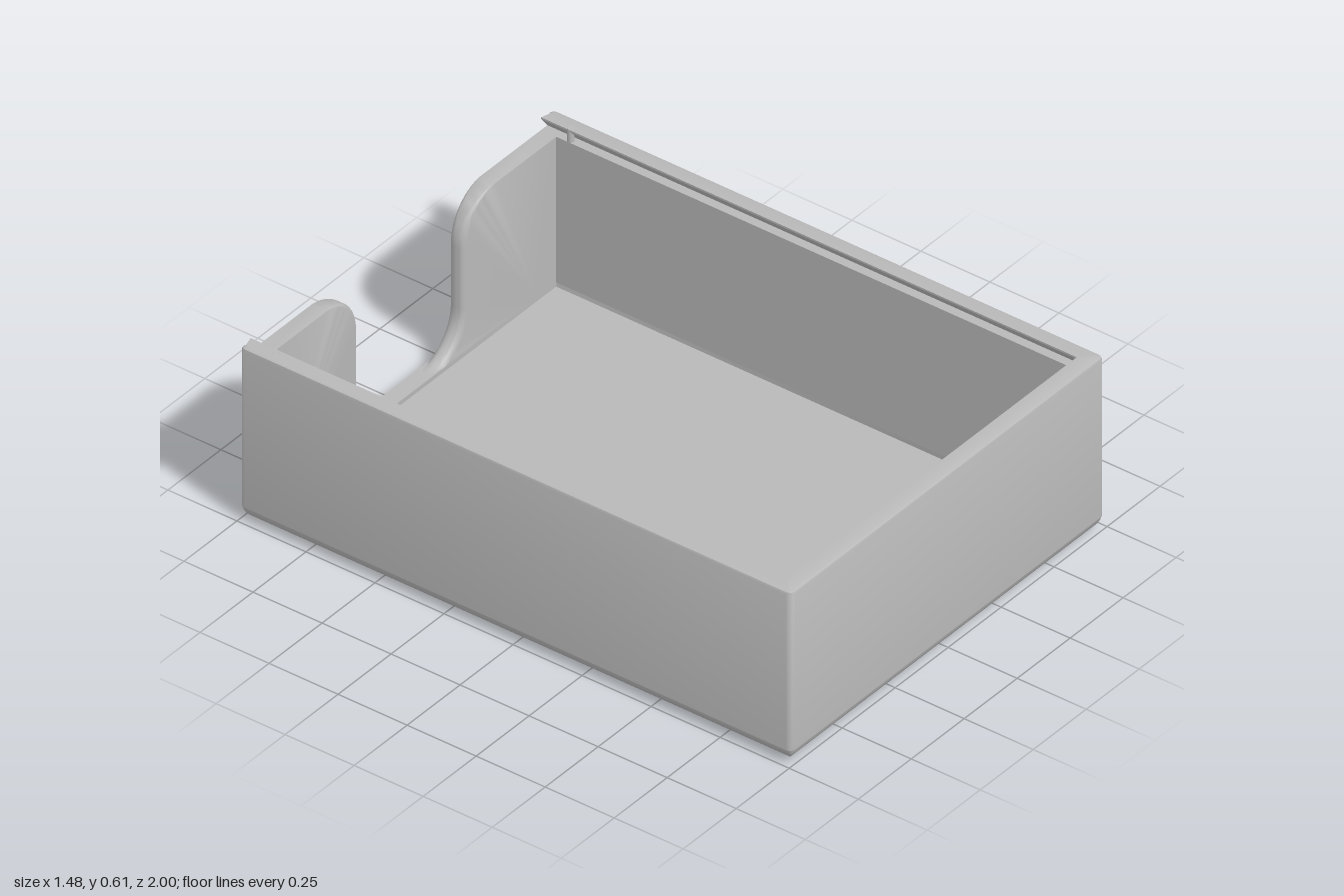
import * as THREE from 'three';
import { toCreasedNormals } from 'three/addons/utils/BufferGeometryUtils.js';

const W = 0.74, IN = 0.685, FRONT_IN = 0.94, BACK_IN = -0.945; // outer half width, cavity limits
const TOP = 0.61, LEDGE = 0.565, SILL = 0.05, FLOOR = 0.035;   // heights
const CORNER = 0.02, GROOVE = 0.03;

// Skin a grid of points (rows of equal length), skipping empty triangles
function skin(rows) {
  const pos = [];
  const tri = (a, b, c) => {
    const n = b.clone().sub(a).cross(c.clone().sub(a));
    if (n.length() > 1e-9) for (const p of [a, b, c]) pos.push(p.x, p.y, p.z);
  };
  for (let i = 0; i < rows.length - 1; i++) {
    for (let j = 0; j < rows[i].length - 1; j++) {
      const a = rows[i][j], b = rows[i + 1][j], c = rows[i + 1][j + 1], d = rows[i][j + 1];
      tri(a, b, c);
      tri(a, c, d);
    }
  }
  const g = new THREE.BufferGeometry();
  g.setAttribute('position', new THREE.Float32BufferAttribute(pos, 3));
  return toCreasedNormals(g, 0.6);
}

const v = (x, y, z) => new THREE.Vector3(x, y, z);

// Closed rounded rectangle at height y
function ring(hx, z0, z1, r, y) {
  const pts = [];
  const centres = [[hx - r, z1 - r], [-hx + r, z1 - r], [-hx + r, z0 + r], [hx - r, z0 + r]];
  centres.forEach(([cx, cz], q) => {
    for (let k = 0; k <= 4; k++) {
      const a = (q + k / 4) * Math.PI / 2;
      pts.push(v(cx + r * Math.cos(a), y, cz + r * Math.sin(a)));
    }
  });
  pts.push(pts[0].clone());
  return pts;
}

// Tray bottom: rounded underside, low sill and recessed floor
function baseGeometry() {
  const R = 0.06, rows = [];
  const outer = (y) => {
    const inset = R - Math.sqrt(R * R - (R - y) ** 2);
    return ring(W - inset, -1 + inset, 1 - inset, Math.max(CORNER - inset, 0.002), y);
  };
  const first = outer(0);
  rows.push(first.map(() => v(0, 0, 0)), first);
  for (let k = 1; k <= 6; k++) rows.push(outer(R * (1 - Math.cos(k / 6 * Math.acos(1 - SILL / R)))));
  for (const y of [SILL, FLOOR]) rows.push(ring(IN, BACK_IN, FRONT_IN, 0.001, y));
  rows.push(first.map(() => v(0, FLOOR, 0)));
  return skin(rows);
}

// Wall cross-section with an undercut groove for a sliding lid.
// o: outer point, n: outer direction, i: inner point, d: groove direction (all in x, z)
function wallSection(o, n, i, d) {
  const inner = (s, y) => v(i[0] + d[0] * s, y, i[1] + d[1] * s);
  const outer = (s, y) => v(o[0] - n[0] * s, y, o[1] - n[1] * s);
  return [inner(0, SILL), inner(0, LEDGE), inner(GROOVE, LEDGE), inner(0, TOP - 0.006), inner(0, TOP),
    outer(0.01, TOP), outer(0.003, TOP - 0.003), outer(0, TOP - 0.01), outer(0, SILL)];
}

// Left, front and right walls as one sweep
function wallRows() {
  const half = [];
  const arc = (cz, from, inner, dir) => {
    for (let k = 0; k <= 4; k++) {
      const a = from + k / 4 * Math.PI / 2, n = [Math.cos(a), Math.sin(a)];
      half.push(wallSection([W - CORNER + CORNER * n[0], cz + CORNER * n[1]], n, inner, dir));
    }
  };
  arc(-1 + CORNER, -Math.PI / 2, [IN, -1], [1, 0]);
  arc(1 - CORNER, 0, [IN, FRONT_IN], [1, 1]);
  const mirrored = half.map((s) => s.map((p) => v(-p.x, p.y, p.z))).reverse();
  return [...half, ...mirrored];
}

// Back wall with a deep thumb notch whose edge is rounded over
function backWallGeometry() {
  const R = 0.15, EDGE = 0.022, N = 12, path = [];
  const add = (x, y, nx, ny, r) => path.push({ x, y, nx, ny, r });
  add(IN, SILL, 0, 1, 0);
  add(IN, LEDGE, 0, 1, 0);
  for (let k = 0; k <= N; k++) {
    const a = Math.PI / 2 * (1 + k / N), c = Math.cos(a), s = Math.sin(a);
    add(0.395 + R * c, LEDGE - R + R * s, c, s, EDGE * Math.sin(k / N * Math.PI / 2));
  }
  for (let k = 0; k <= N; k++) {
    const a = -Math.PI / 2 * k / N, c = Math.cos(a), s = Math.sin(a);
    add(0.095 + R * c, SILL + R + R * s, -c, -s, EDGE);
  }
  const mirrored = path.map((p) => ({ ...p, x: -p.x, nx: -p.nx })).reverse();
  const rows = [...path, ...mirrored].map(({ x, y, nx, ny, r }) => {
    const foot = 0.6 * Math.sign(x), outside = [], inside = [];
    for (let k = 0; k <= 5; k++) {
      const a = k / 5 * Math.PI / 2, back = r * (1 - Math.sin(a)), dz = r * (1 - Math.cos(a));
      const px = x - nx * back, py = Math.max(SILL, y - ny * back);
      outside.push(v(px, py, -1 + dz));
      inside.unshift(v(px, py, BACK_IN - dz));
    }
    return [v(foot, SILL, -1), ...outside, ...inside, v(foot, SILL, BACK_IN)];
  });
  return skin(rows);
}

export function createModel() {
  const model = new THREE.Group();
  model.name = 'slidingLidTray';
  const grey = new THREE.MeshStandardMaterial({ color: 0xb8b8b8 });
  grey.name = 'grey';
  const add = (name, geometry) => {
    const mesh = new THREE.Mesh(geometry, grey);
    mesh.name = name;
    model.add(mesh);
    return mesh;
  };

  add('base', baseGeometry());
  const rows = wallRows();
  add('sideAndFrontWalls', skin(rows));
  add('backWall', backWallGeometry());

  for (const side of [1, -1]) {
    const label = side > 0 ? 'left' : 'right';
    // Flat rear end of each side wall, showing the groove profile
    const outline = rows[0].map((p) => new THREE.Vector2(-side * p.x, p.y));
    const end = new THREE.ShapeGeometry(new THREE.Shape(outline));
    end.rotateY(Math.PI);
    end.translate(0, 0, -1);
    add(label + 'WallEnd', end);
    // Small catch that holds the lid in its groove
    const height = TOP - LEDGE;
    add(label + 'Catch', new THREE.CylinderGeometry(0.011, 0.011, height, 16))
      .position.set(side * 0.695, LEDGE + height / 2 + 0.0005, -0.9);
  }
  return model;
}
